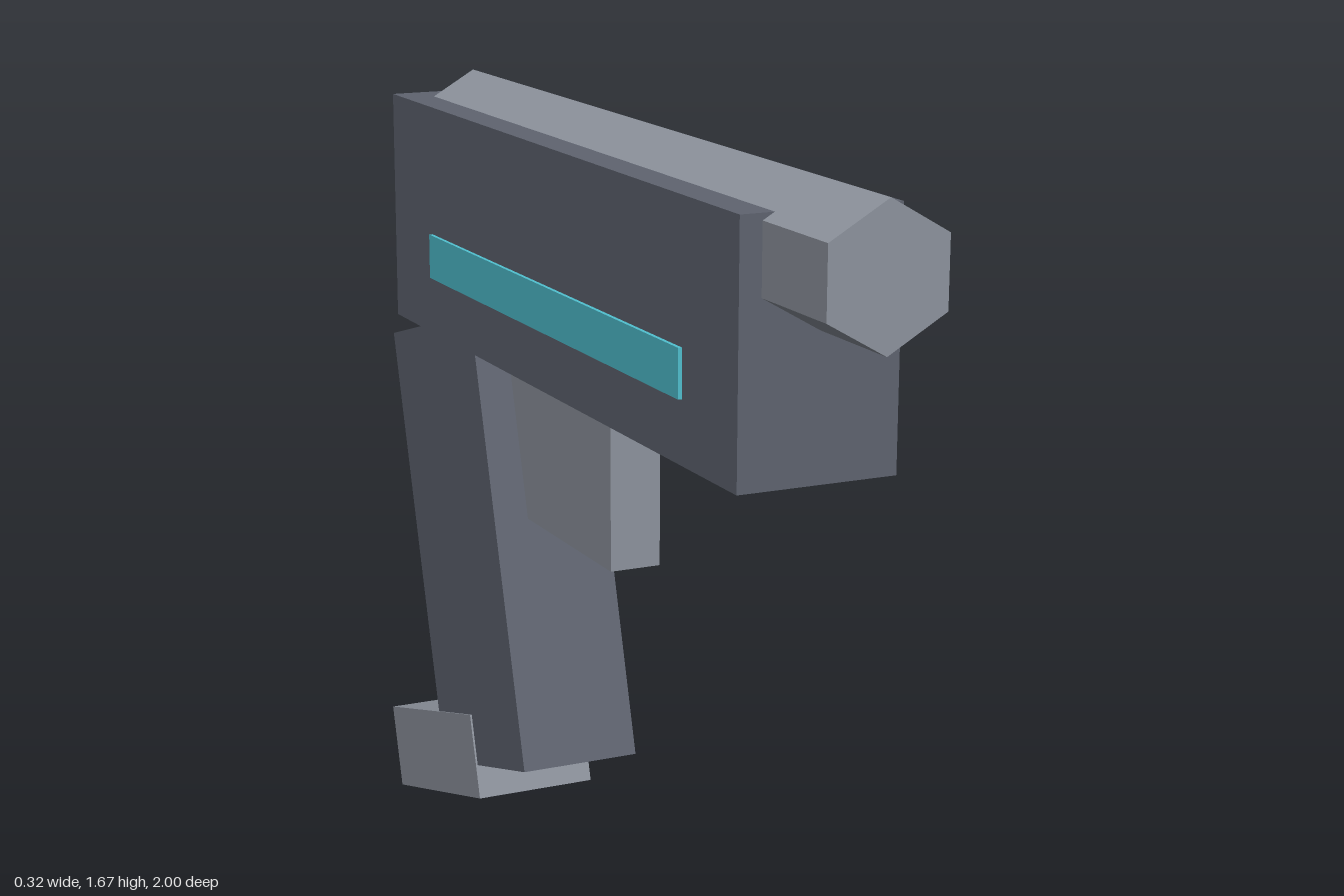
import * as THREE from 'three';

export function createModel() {
  const model = new THREE.Group();
  model.name = 'toyBlaster';

  const material = (name, color) => {
    const m = new THREE.MeshStandardMaterial({ color });
    m.name = name;
    return m;
  };
  const darkGrey = material('darkGrey', 0x5f6470);
  const lightGrey = material('lightGrey', 0x8e949e);
  const cyan = material('cyan', 0x50c0cf);
  lightGrey.flatShading = true;

  const add = (name, geometry, mat, x, y, z, tilt = 0) => {
    const mesh = new THREE.Mesh(geometry, mat);
    mesh.name = name;
    mesh.position.set(x, y, z);
    mesh.rotation.x = tilt;
    model.add(mesh);
    return mesh;
  };
  const box = (w, h, d) => new THREE.BoxGeometry(w, h, d);

  // Main housing
  add('body', box(0.31, 0.478, 1.62), darkGrey, 0, 1.379, -0.033);

  // Hexagonal barrel, ridge upward, sunk into the top of the housing
  const hex = new THREE.CylinderGeometry(0.13, 0.13, 1.77, 6).rotateX(Math.PI / 2);
  add('barrel', hex, lightGrey, 0, 1.54, 0.115);

  // Glowing strips on both sides
  for (const side of [-1, 1]) {
    add(side > 0 ? 'leftStrip' : 'rightStrip', box(0.009, 0.092, 1.19), cyan, side * 0.158, 1.306, -0.03);
  }

  // Trigger block, running back into the grip
  add('triggerBlock', box(0.106, 0.293, 0.56), lightGrey, 0, 0.934, -0.235);

  // Slanted grip and its base plate share one tilt
  const tilt = -0.28;
  add('grip', box(0.255, 0.958, 0.476), darkGrey, 0, 0.68, -0.586, tilt);
  add('gripBase', box(0.263, 0.183, 0.503), lightGrey, 0, 0.159, -0.733, tilt);

  return model;
}
